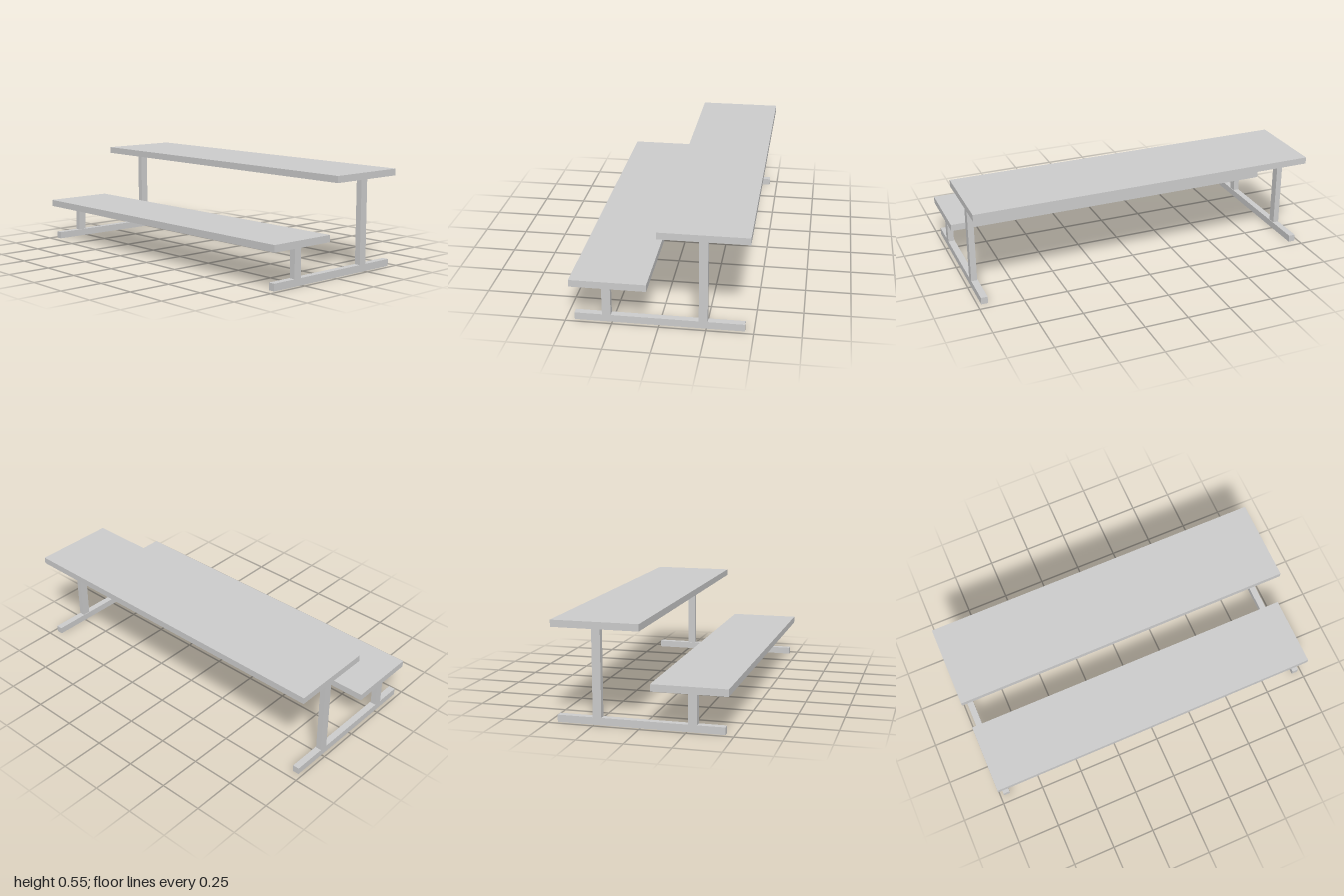
import * as THREE from 'three';

export function createModel() {
  const model = new THREE.Group();
  const material = new THREE.MeshStandardMaterial({ color: 0xcccccc, flatShading: true });

  // Box given by its lower and upper limits on each axis
  function addBox(parent, name, [x0, x1], [y0, y1], [z0, z1]) {
    const mesh = new THREE.Mesh(new THREE.BoxGeometry(x1 - x0, y1 - y0, z1 - z0), material);
    mesh.position.set((x0 + x1) / 2, (y0 + y1) / 2, (z0 + z1) / 2);
    mesh.name = name;
    parent.add(mesh);
  }

  // Table board at the back, bench board in front
  addBox(model, 'tableTop', [-1, 1], [0.514, 0.552], [-0.474, 0.006]);
  addBox(model, 'benchSeat', [-1, 1], [0.206, 0.245], [0.062, 0.474]);

  // End frames: a floor rail carrying one tall and one short post
  for (const side of [-1, 1]) {
    const frame = new THREE.Group();
    frame.name = side > 0 ? 'leftFrame' : 'rightFrame';
    const span = (a, b) => (side > 0 ? [a, b] : [-b, -a]);
    addBox(frame, 'floorRail', span(0.941, 0.979), [0, 0.04], [-0.453, 0.453]);
    addBox(frame, 'tablePost', span(0.945, 0.979), [0.04, 0.514], [-0.257, -0.21]);
    addBox(frame, 'benchPost', span(0.945, 0.979), [0.04, 0.206], [0.258, 0.305]);
    model.add(frame);
  }

  return model;
}
